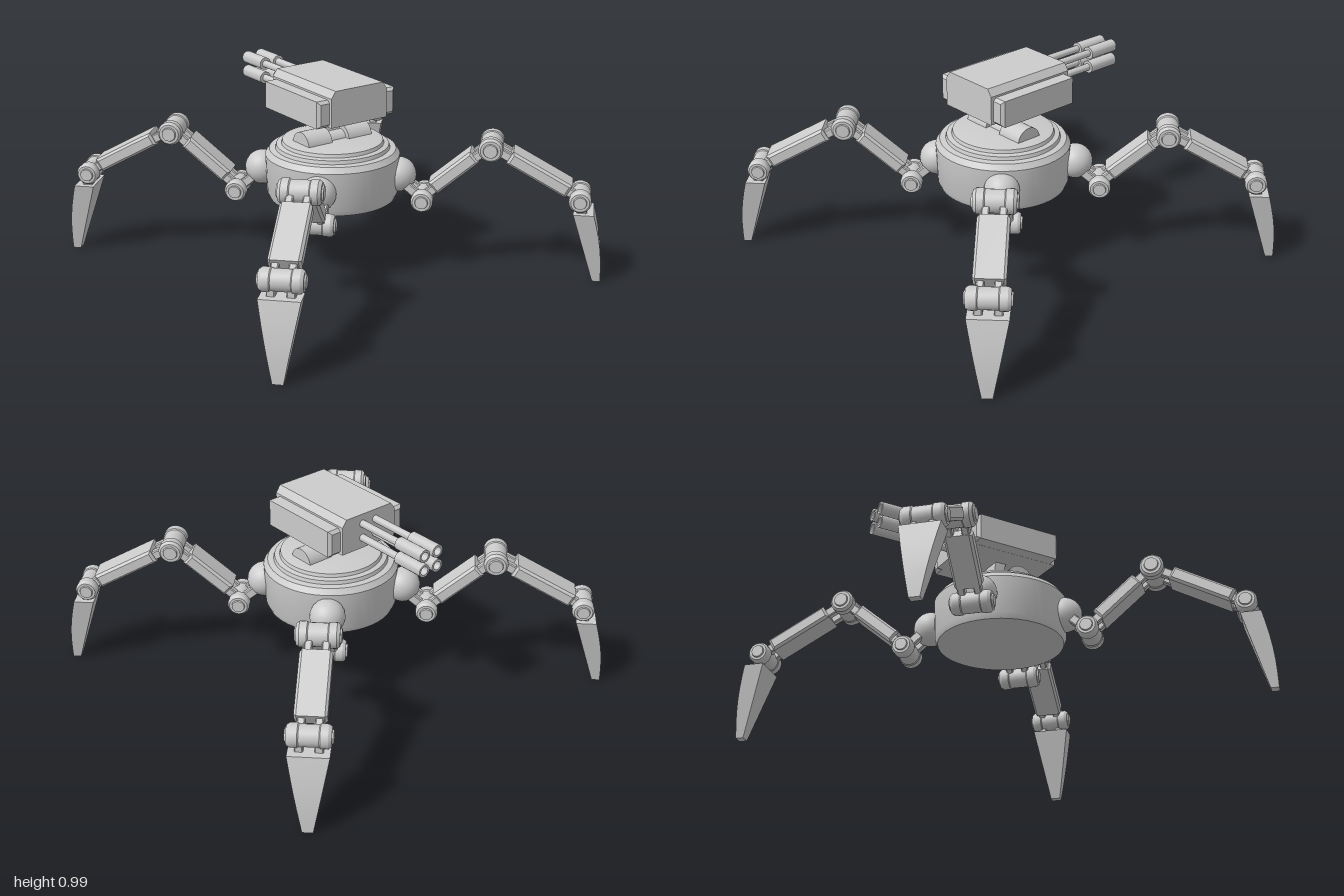
import * as THREE from 'three';
import { toCreasedNormals } from 'three/addons/utils/BufferGeometryUtils.js';

const material = new THREE.MeshStandardMaterial({ color: 0xcccccc });

function add(parent, name, geometry, x = 0, y = 0, z = 0) {
  const mesh = new THREE.Mesh(toCreasedNormals(geometry, 0.5), material);
  mesh.name = name;
  mesh.position.set(x, y, z);
  parent.add(mesh);
  return mesh;
}

const lathe = (points, sides = 32) =>
  new THREE.LatheGeometry(points.map(([r, y]) => new THREE.Vector2(r, y)), sides);

const polygon = (points) => new THREE.Shape(points.map(([x, y]) => new THREE.Vector2(x, y)));

// Chamfered block, centred, with its long side on x
function block(length, height, width, bevel) {
  const l = length / 2 - bevel, h = height / 2 - bevel, w = width / 2 - bevel;
  const g = new THREE.ExtrudeGeometry(polygon([[-l, -h], [l, -h], [l, h], [-l, h]]), {
    depth: 2 * w, bevelEnabled: true, bevelThickness: bevel, bevelSize: bevel, bevelSegments: 1,
  });
  return g.translate(0, 0, -w);
}

// Hinge barrel lying across the leg, with raised collars and end caps
function joint(leg, name, r, x, y) {
  const half = [[r, 0.05], [r, 0.085], [r * 0.82, 0.1], [r * 0.6, 0.1], [r * 0.55, 0.108], [0, 0.108]];
  const profile = [
    ...half.map(([a, b]) => [a, -b]).reverse(),
    [r * 0.92, -0.045], [r * 0.92, 0.045], ...half,
  ];
  add(leg, name, lathe(profile, 24).rotateX(Math.PI / 2), x, y, 0);
}

// Limb between two hinges: chamfered beam plus paired lugs at both ends
function limb(leg, name, from, to, startGap, endGap, width, lift) {
  const dx = to[0] - from[0], dy = to[1] - from[1], length = Math.hypot(dx, dy);
  const group = new THREE.Group();
  group.name = name;
  group.position.set(from[0], from[1], 0);
  group.rotation.z = Math.atan2(dy, dx);
  const beam = length - startGap - endGap;
  add(group, name + 'Beam', block(beam, 0.07, width, 0.012), startGap + beam / 2, lift, 0);
  for (const z of [-0.04, 0.04])
    add(group, name + 'Lug', block(length - 0.04, 0.045, 0.036, 0.005), length / 2, lift / 2, z);
  leg.add(group);
}

// Claw: a block tapering to the tip, bowed on the outside
function clawGeometry() {
  const g = new THREE.BoxGeometry(1, 1, 1, 1, 6, 1);
  const p = g.attributes.position;
  for (let i = 0; i < p.count; i++) {
    const t = 0.5 - p.getY(i);
    const inner = 1.21 + 0.11 * t;
    const outer = 1.31 + 0.05 * t + 0.014 * Math.sin(Math.PI * t);
    const width = 0.095 - 0.07 * t;
    p.setXYZ(i, p.getX(i) < 0 ? inner : outer, 0.37 * (1 - t), Math.sign(p.getZ(i)) * width);
  }
  return g;
}

// Leg built along +x from the body centre
function createLeg() {
  const leg = new THREE.Group();
  leg.name = 'leg';
  const hip = [0.47, 0.39], knee = [0.8, 0.675], ankle = [1.24, 0.435];
  add(leg, 'hipBall', new THREE.SphereGeometry(0.087, 24, 16), 0.346, 0.5, 0);
  for (const z of [-0.04, 0.04]) {
    const link = add(leg, 'hipLink', block(0.15, 0.045, 0.035, 0.005), 0.415, 0.435, z);
    link.rotation.z = -0.7;
  }
  joint(leg, 'hipJoint', 0.055, ...hip);
  limb(leg, 'thigh', hip, knee, 0.08, 0.09, 0.135, 0.015);
  joint(leg, 'kneeJoint', 0.06, ...knee);
  limb(leg, 'shin', knee, ankle, 0.1, 0.07, 0.15, 0.01);
  joint(leg, 'ankleJoint', 0.055, ...ankle);
  for (const z of [-0.045, 0.045])
    add(leg, 'ankleLug', block(0.05, 0.08, 0.04, 0.005), 1.25, 0.385, z);
  add(leg, 'claw', clawGeometry());
  return leg;
}

function createTurret() {
  const turret = new THREE.Group();
  turret.name = 'turret';

  // Swivel drum split around the neck
  for (const s of [-1, 1])
    add(turret, 'swivelDrum', new THREE.CylinderGeometry(0.07, 0.07, 0.14, 32).rotateZ(Math.PI / 2), s * 0.12, 0.668, 0.02);
  add(turret, 'swivelAxle', new THREE.CylinderGeometry(0.045, 0.045, 0.12, 24).rotateZ(Math.PI / 2), 0, 0.668, 0.02);

  // Curved neck, side outline drawn as (-z, y)
  const neck = new THREE.Shape();
  neck.moveTo(-0.03, 0.66);
  neck.lineTo(0.03, 0.66);
  neck.quadraticCurveTo(0.055, 0.76, 0.03, 0.83);
  neck.lineTo(-0.035, 0.83);
  neck.quadraticCurveTo(0.015, 0.76, -0.03, 0.66);
  const neckGeometry = new THREE.ExtrudeGeometry(neck, { depth: 0.096, bevelEnabled: false, curveSegments: 8 });
  add(turret, 'neck', neckGeometry.translate(0, 0, -0.048).rotateY(Math.PI / 2));

  // Housing with sloped top edges and chamfered side panels
  const outline = polygon([[-0.165, 0.81], [0.165, 0.81], [0.165, 0.955], [0.14, 0.99], [-0.14, 0.99], [-0.165, 0.955]]);
  add(turret, 'housing', new THREE.ExtrudeGeometry(outline, { depth: 0.5, bevelEnabled: false }), 0, 0, -0.26);
  for (const s of [-1, 1])
    add(turret, 'sidePanel', block(0.12, 0.135, 0.47, 0.015), s * 0.17, 0.878, -0.01);

  // Four barrels with hollow muzzles, pointing to -z
  const barrel = [[0, 0.24], [0.018, 0.24], [0.018, 0.52], [0.032, 0.52], [0.032, 0.69], [0.021, 0.69], [0.021, 0.62], [0, 0.62]];
  for (const x of [-0.04, 0.04])
    for (const y of [0.865, 0.94])
      add(turret, 'gunBarrel', lathe(barrel, 20).rotateX(-Math.PI / 2), x, y, 0);
  return turret;
}

export function createModel() {
  const model = new THREE.Group();
  model.name = 'walkerTurret';

  // Round hull with stepped deck
  const hull = [
    [0, 0.38], [0.315, 0.38], [0.328, 0.41], [0.335, 0.6], [0.315, 0.628], [0.285, 0.632],
    [0.28, 0.65], [0.255, 0.655], [0.25, 0.672], [0.225, 0.678], [0, 0.678],
  ];
  add(model, 'hull', lathe(hull, 48), 0, 0, 0.02);

  for (let i = 0; i < 4; i++) {
    const leg = createLeg();
    leg.rotation.y = Math.PI / 4 + (i * Math.PI) / 2;
    model.add(leg);
  }
  model.add(createTurret());
  return model;
}
